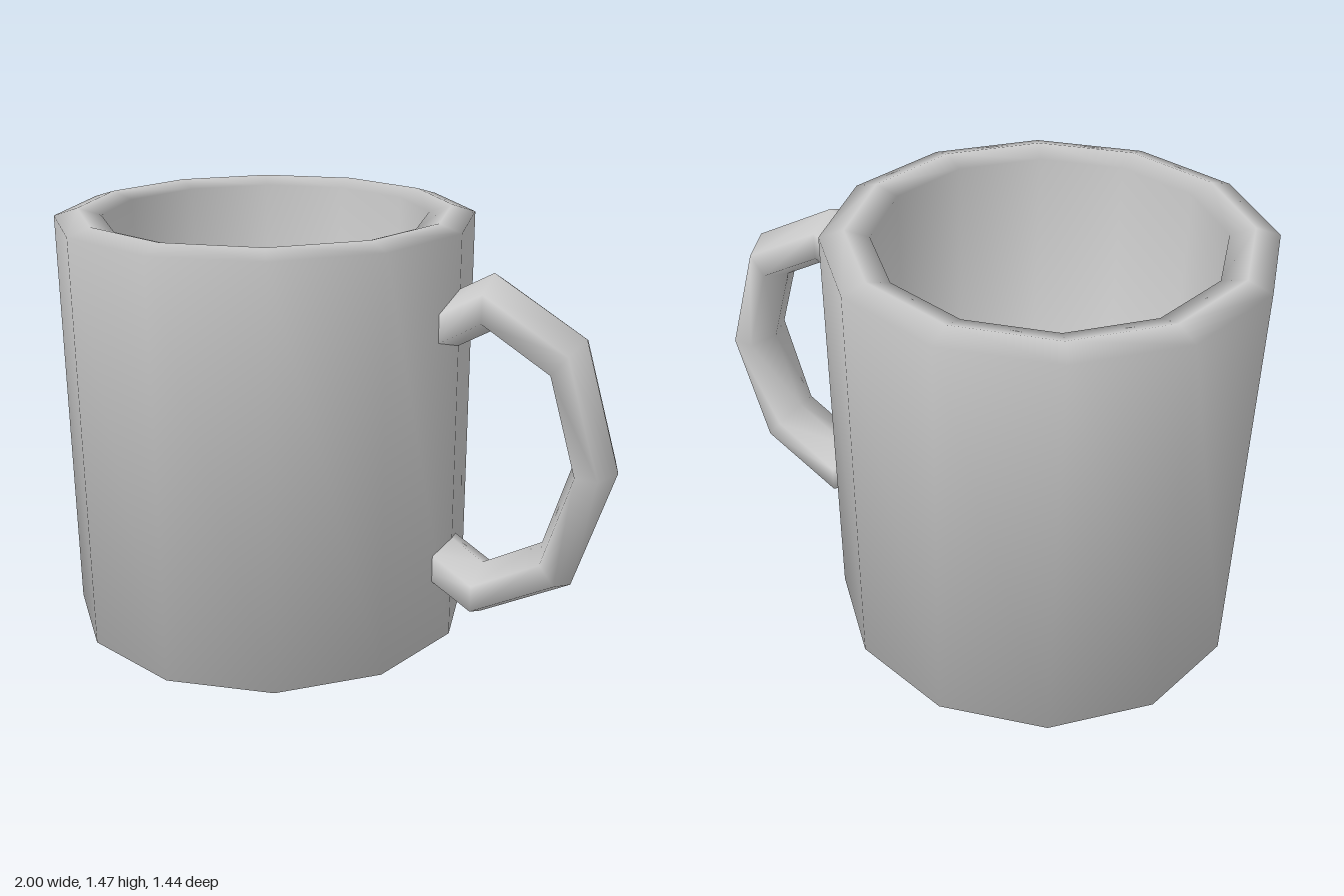
import * as THREE from 'three';

const grey = () => new THREE.MeshStandardMaterial({ color: 0xcccccc });

// Twelve-sided cup: underside, outer wall, bevelled rim, inner wall and floor
function makeCup() {
  const profile = [
    [0, 0], [0.72, 0], [0.72, 1.445], [0.64, 1.47], [0.56, 1.445], [0.56, 0.12], [0, 0.12],
  ].map(([r, y]) => new THREE.Vector2(r, y));
  const cup = new THREE.Mesh(new THREE.LatheGeometry(profile, 12), grey());
  cup.name = 'cup';
  cup.position.x = -0.28;
  return cup;
}

// Six-sided tube swept along part of an eight-sided ellipse, its ends sunk in the cup wall
function makeHandle() {
  const section = [[1, 0], [0.5, -1], [-0.5, -1], [-1, 0], [-0.5, 1], [0.5, 1]]; // outward, z
  const sides = section.length;
  const rings = 7;
  const ringPoint = (step, [out, z]) => {
    const a = step * Math.PI / 4;
    return new THREE.Vector3(
      Math.cos(a) * (0.37 + 0.075 * out),
      Math.sin(a) * (0.51 + 0.095 * out),
      0.105 * z
    );
  };
  const positions = [];
  const index = [];
  for (let i = 0; i < rings; i++) {
    const step = i - 3;
    for (const s of section) {
      const p = ringPoint(step, s);
      // Shorten the two end pieces so they stop inside the wall
      if (Math.abs(step) === 3) p.lerp(ringPoint(Math.sign(step) * 2, s), 0.3);
      positions.push(p.x, p.y, p.z);
    }
  }
  for (let i = 0; i < rings - 1; i++) {
    for (let j = 0; j < sides; j++) {
      const a = i * sides + j;
      const b = i * sides + (j + 1) % sides;
      index.push(a, b, a + sides, b, b + sides, a + sides);
    }
  }
  const geometry = new THREE.BufferGeometry();
  geometry.setAttribute('position', new THREE.Float32BufferAttribute(positions, 3));
  geometry.setIndex(index);
  geometry.computeVertexNormals();
  const handle = new THREE.Mesh(geometry, grey());
  handle.name = 'handle';
  handle.position.set(0.555, 0.725, 0);
  return handle;
}

export function createModel() {
  const mug = new THREE.Group();
  mug.name = 'mug';
  mug.add(makeCup(), makeHandle());
  return mug;
}
